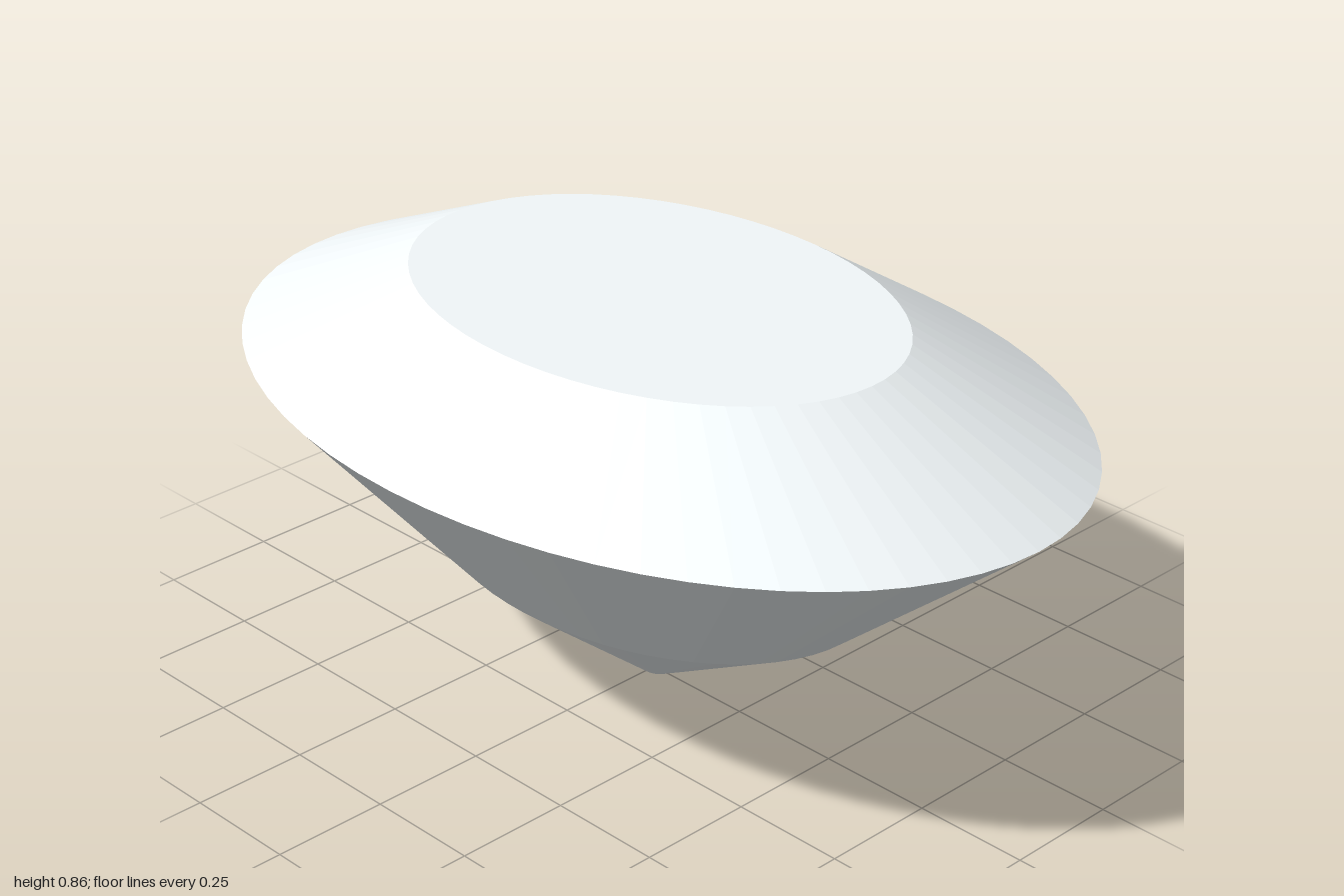
import * as THREE from 'three';

const SIDES = 64;
const WIDTH = 0.692; // oval: width relative to length

export function createModel() {
  const gem = new THREE.Group();
  gem.name = 'ovalGem';
  const material = new THREE.MeshStandardMaterial({ color: 0xf2f8fa, flatShading: true });

  const add = (name, geometry) => {
    geometry.scale(WIDTH, 1, 1);
    geometry.computeVertexNormals();
    const mesh = new THREE.Mesh(geometry, material);
    mesh.name = name;
    gem.add(mesh);
  };

  // Sloped band between two oval rings
  const band = (name, [r0, y0], [r1, y1]) =>
    add(name, new THREE.CylinderGeometry(r1, r0, y1 - y0, SIDES, 1, true)
      .translate(0, (y0 + y1) / 2, 0));

  // Flat oval face pointing up (1) or down (-1)
  const face = (name, [r, y], up) =>
    add(name, new THREE.CircleGeometry(r, SIDES).rotateX(-up * Math.PI / 2).translate(0, y, 0));

  // Rings as [half length, height]
  const culet = [0.037, 0];
  const knee = [0.525, 0.277];
  const girdle = [1, 0.673];
  const table = [0.582, 0.86];

  face('culet', culet, -1);
  band('lowerPavilion', culet, knee);
  band('upperPavilion', knee, girdle);
  band('crown', girdle, table);
  face('table', table, 1);

  return gem;
}
